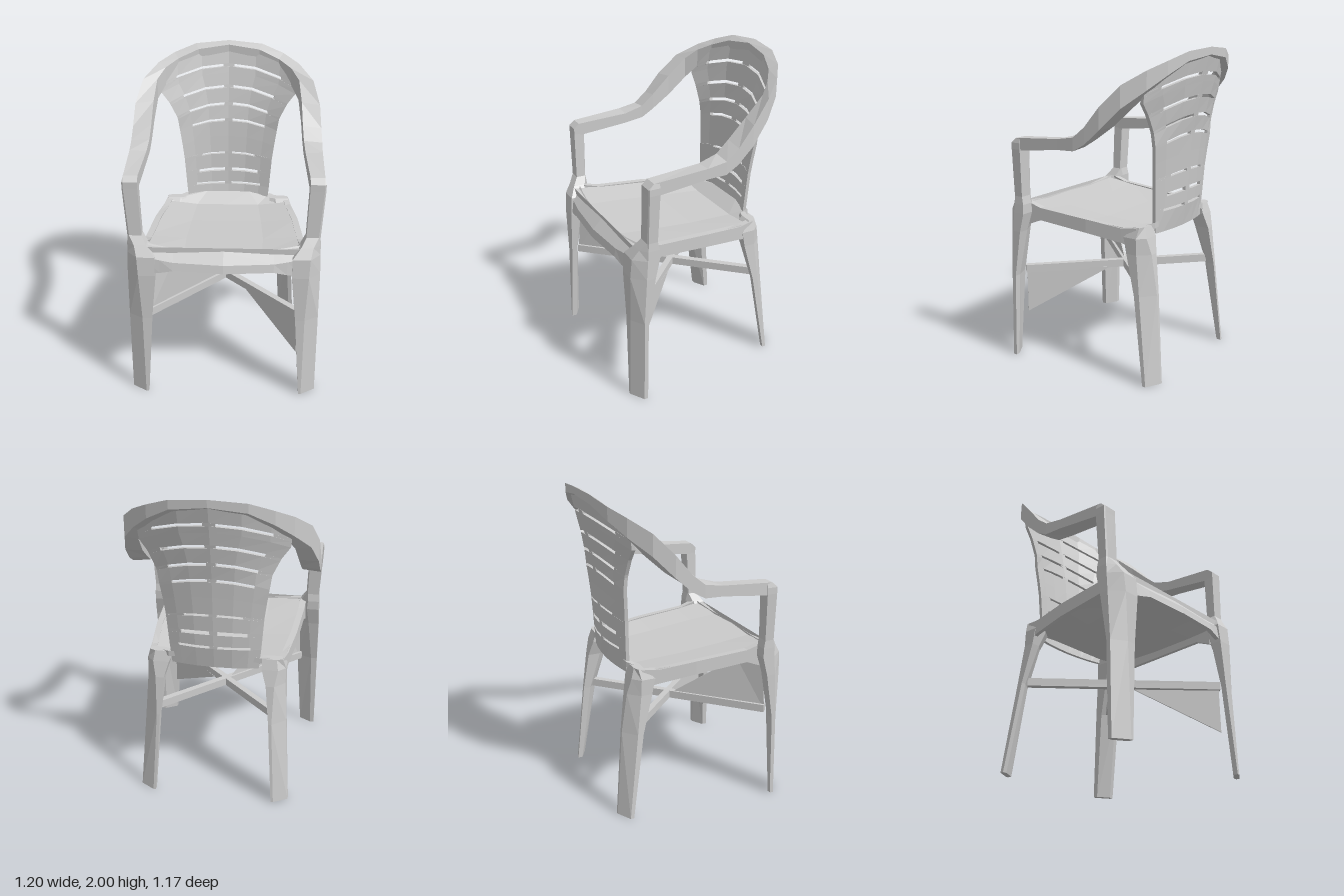
import * as THREE from 'three';

const plastic = new THREE.MeshStandardMaterial({ color: 0xcccccc, flatShading: true });
plastic.name = 'palePlastic';

// Closed solid through equal-length rings of [x, y, z] points
function loft(rings) {
  const tris = [];
  const n = rings[0].length;
  for (let i = 0; i + 1 < rings.length; i++) {
    for (let j = 0; j < n; j++) {
      const k = (j + 1) % n;
      const a = rings[i][j], b = rings[i][k], c = rings[i + 1][k], d = rings[i + 1][j];
      tris.push([a, b, c], [a, c, d]);
    }
  }
  const first = rings[0], last = rings[rings.length - 1];
  for (let j = 1; j + 1 < n; j++) {
    tris.push([first[0], first[j + 1], first[j]], [last[0], last[j], last[j + 1]]);
  }
  // Turn the faces outward, whichever way the rings run
  let volume = 0;
  for (const [a, b, c] of tris) {
    volume += a[0] * (b[1] * c[2] - b[2] * c[1])
            + a[1] * (b[2] * c[0] - b[0] * c[2])
            + a[2] * (b[0] * c[1] - b[1] * c[0]);
  }
  if (volume < 0) tris.forEach((t) => t.reverse());
  const geometry = new THREE.BufferGeometry();
  geometry.setAttribute('position', new THREE.Float32BufferAttribute(tris.flat(2), 3));
  geometry.computeVertexNormals();
  return geometry;
}

// Linear interpolation in a table of [key, value] pairs
function lerpTable(table, v) {
  for (let i = 1; i < table.length; i++) {
    const [k0, a] = table[i - 1], [k1, b] = table[i];
    if (v <= k1) return a + (b - a) * (v - k0) / (k1 - k0);
  }
  return table[table.length - 1][1];
}

// Backrest: half width, centre depth and edge depth by height
const backWidth = [[0.9, 0.27], [1, 0.28], [1.3, 0.3], [1.6, 0.34], [1.72, 0.39], [1.8, 0.44], [1.975, 0.455]];
const backCentre = [[0.9, -0.4], [1, -0.42], [1.3, -0.44], [1.5, -0.46], [1.7, -0.5], [1.975, -0.563]];
const backEdge = [[0.9, -0.37], [1.3, -0.385], [1.5, -0.4], [1.8, -0.39], [1.975, -0.41]];

function backPoint(u, v, offset) {
  const zc = lerpTable(backCentre, v), ze = lerpTable(backEdge, v);
  const y = v - Math.max(0, v - 1) * 0.13 * u * u;
  return [u * lerpTable(backWidth, v), y, zc + (ze - zc) * u * u + offset];
}

function backStrip(v0, v1, columns) {
  const t = 0.011;
  return loft(columns.map((u) => [
    backPoint(u, v0, t), backPoint(u, v1, t), backPoint(u, v1, -t), backPoint(u, v0, -t),
  ]));
}

export function createModel() {
  const model = new THREE.Group();
  model.name = 'gardenChair';
  const add = (parent, name, geometry) => {
    const mesh = new THREE.Mesh(geometry, plastic);
    mesh.name = name;
    parent.add(mesh);
  };

  // Backrest: solid bands, with arched slots either side of a centre rib
  const backrest = new THREE.Group();
  backrest.name = 'backrest';
  model.add(backrest);
  const slots = [ // bottom, top, outer end as a share of the half width
    [1.035, 1.052, 0.78], [1.13, 1.155, 0.7], [1.255, 1.27, 0.6], [1.483, 1.502, 0.75],
    [1.59, 1.61, 0.77], [1.703, 1.723, 0.78], [1.84, 1.86, 0.78],
  ];
  const full = [-1, -0.75, -0.4, 0, 0.4, 0.75, 1];
  const kinks = [1.38, 1.8];
  let bottom = 0.9;
  for (const [v0, v1, end] of [...slots, [1.975, 1.975, 0]]) {
    const levels = [bottom, ...kinks.filter((k) => k > bottom && k < v0), v0];
    for (let i = 1; i < levels.length; i++) {
      add(backrest, 'backBand', backStrip(levels[i - 1], levels[i], full));
    }
    if (end) {
      add(backrest, 'backSideRight', backStrip(v0, v1, [-1, -end]));
      add(backrest, 'backRib', backStrip(v0, v1, [-0.08, 0, 0.08]));
      add(backrest, 'backSideLeft', backStrip(v0, v1, [end, 1]));
    }
    bottom = v1;
  }

  // Seat: dished slab curving up into the back, sections are [z, half width, edge y, middle y]
  add(model, 'seat', loft([
    [0.51, 0.46, 1.02, 0.995], [0.3, 0.475, 0.995, 0.975], [0, 0.455, 0.97, 0.945],
    [-0.3, 0.42, 0.95, 0.925], [-0.39, 0.29, 0.975, 0.985],
  ].map(([z, w, ye, ym]) => [
    [-w, ye, z], [-w * 0.5, ym, z], [0, ym, z], [w * 0.5, ym, z], [w, ye, z],
    [w, ye - 0.035, z], [w * 0.5, ym - 0.03, z], [0, ym - 0.03, z], [-w * 0.5, ym - 0.03, z], [-w, ye - 0.035, z],
  ])));

  // Front lip: rolled edge, sections are [x, top y, bottom y, front z]
  add(model, 'frontLip', loft([
    [-0.48, 1.03, 0.86, 0.54], [-0.38, 1.015, 0.87, 0.555], [-0.3, 1.005, 0.89, 0.565], [0, 1, 0.885, 0.583],
    [0.3, 1.005, 0.89, 0.565], [0.38, 1.015, 0.87, 0.555], [0.48, 1.03, 0.86, 0.54],
  ].map(([x, top, low, z]) => [
    [x, top, z - 0.075], [x, top - 0.065, z - 0.012], [x, low, z], [x, low, z - 0.03], [x, top - 0.05, z - 0.085],
  ])));

  // Legs: sections are [y, outer x, inner x, outer z, inner z, corner cut from 0 to 1]
  const frontLeg = [
    [0, 0.585, 0.48, 0.575, 0.495, 1], [0.55, 0.583, 0.44, 0.56, 0.48, 0.95], [0.85, 0.583, 0.41, 0.56, 0.43, 0.8],
    [0.97, 0.58, 0.41, 0.55, 0.4, 0.7], [1.03, 0.578, 0.46, 0.51, 0.4, 0.5], [1.08, 0.575, 0.49, 0.475, 0.41, 0.15],
    [1.38, 0.592, 0.5, 0.47, 0.4, 0.1], [1.42, 0.592, 0.5, 0.47, 0.4, 0.1], [1.45, 0.585, 0.5, 0.435, 0.4, 0],
  ];
  const backLeg = [
    [0, 0.485, 0.38, -0.505, -0.43, 1], [0.55, 0.45, 0.345, -0.455, -0.345, 0.95], [0.8, 0.435, 0.32, -0.42, -0.28, 0.7],
    [0.9, 0.435, 0.29, -0.395, -0.26, 0.5], [0.965, 0.415, 0.29, -0.375, -0.32, 0.4],
  ];
  // Arm and back rim: sections are [outer x, y, z, inner x, y, z, depth]
  const arm = [
    [0.585, 1.45, 0.435, 0.5, 1.45, 0.435, 0.08], [0.595, 1.475, 0.1, 0.49, 1.47, 0.1, 0.065],
    [0.6, 1.495, -0.02, 0.485, 1.505, -0.02, 0.08], [0.597, 1.56, -0.1, 0.48, 1.575, -0.1, 0.1],
    [0.59, 1.68, -0.2, 0.475, 1.69, -0.22, 0.13], [0.55, 1.805, -0.32, 0.46, 1.8, -0.34, 0.13],
    [0.46, 1.885, -0.435, 0.41, 1.86, -0.405, 0.11], [0.36, 1.935, -0.51, 0.33, 1.905, -0.465, 0.08],
    [0.22, 1.983, -0.562, 0.2, 1.955, -0.515, 0.055], [0, 2, -0.585, 0, 1.98, -0.54, 0.045],
  ];
  // Side rail: sections are [z, outer x, top y, bottom y]
  const rail = [[0.44, 0.49, 1.03, 0.88], [0.34, 0.485, 1, 0.92], [0, 0.465, 0.975, 0.89], [-0.24, 0.435, 0.95, 0.86], [-0.34, 0.42, 0.96, 0.84]];

  for (const [s, side] of [[1, 'Left'], [-1, 'Right']]) {
    // Diagonal channel: outer and inner corners are both cut away
    const legRing = ([y, xo, xi, zo, zi, cut]) => {
      const w = xo - xi, d = zo - zi;
      return [
        [s * xo, y, zi], [s * xo, y, zo - cut * 0.7 * d], [s * (xo - cut * Math.min(0.09, w * 0.85)), y, zo],
        [s * xi, y, zo], [s * xi, y, zi + cut * 0.6 * d], [s * (xi + cut * 0.75 * w), y, zi],
      ];
    };
    add(model, 'frontLeg' + side, loft(frontLeg.map(legRing)));
    add(model, 'backLeg' + side, loft(backLeg.map(legRing)));
    add(model, 'armAndRim' + side, loft(arm.map(([xo, yo, zo, xi, yi, zi, h]) => [
      [s * xo, yo, zo], [s * xi, yi, zi], [s * xi, yi - h, zi], [s * xo, yo - h, zo],
    ])));
    add(model, 'sideRail' + side, loft(rail.map(([z, x, top, low]) => [
      [s * x, top, z], [s * (x - 0.04), top, z], [s * (x - 0.025), low, z], [s * x, low, z],
    ])));
    // Crossed stretcher from a front leg to the opposite back leg
    add(model, 'stretcher' + side, loft([[s * 0.46, 0.54, 0.5], [-s * 0.38, 0.55, -0.37]].map(([x, y, z]) => [
      [x + 0.014, y, z - s * 0.014], [x + 0.014, y + 0.05, z - s * 0.014],
      [x - 0.014, y + 0.05, z + s * 0.014], [x - 0.014, y, z + s * 0.014],
    ])));
  }

  // Thin gusset plates along the stretchers
  const plate = (points, dx, dz) => loft([-1, 1].map((k) => points.map(([x, y, z]) => [x + k * dx, y, z + k * dz])));
  add(model, 'upperGusset', plate([[-0.46, 0.55, 0.5], [-0.44, 0.92, 0.48], [-0.31, 0.88, 0.37], [-0.03, 0.59, 0.05]], 0.003, 0.003));
  add(model, 'lowerGusset', plate([[0.46, 0.56, 0.49], [0.46, 0.27, 0.49], [0.09, 0.55, 0.09]], 0.003, -0.003));

  return model;
}
